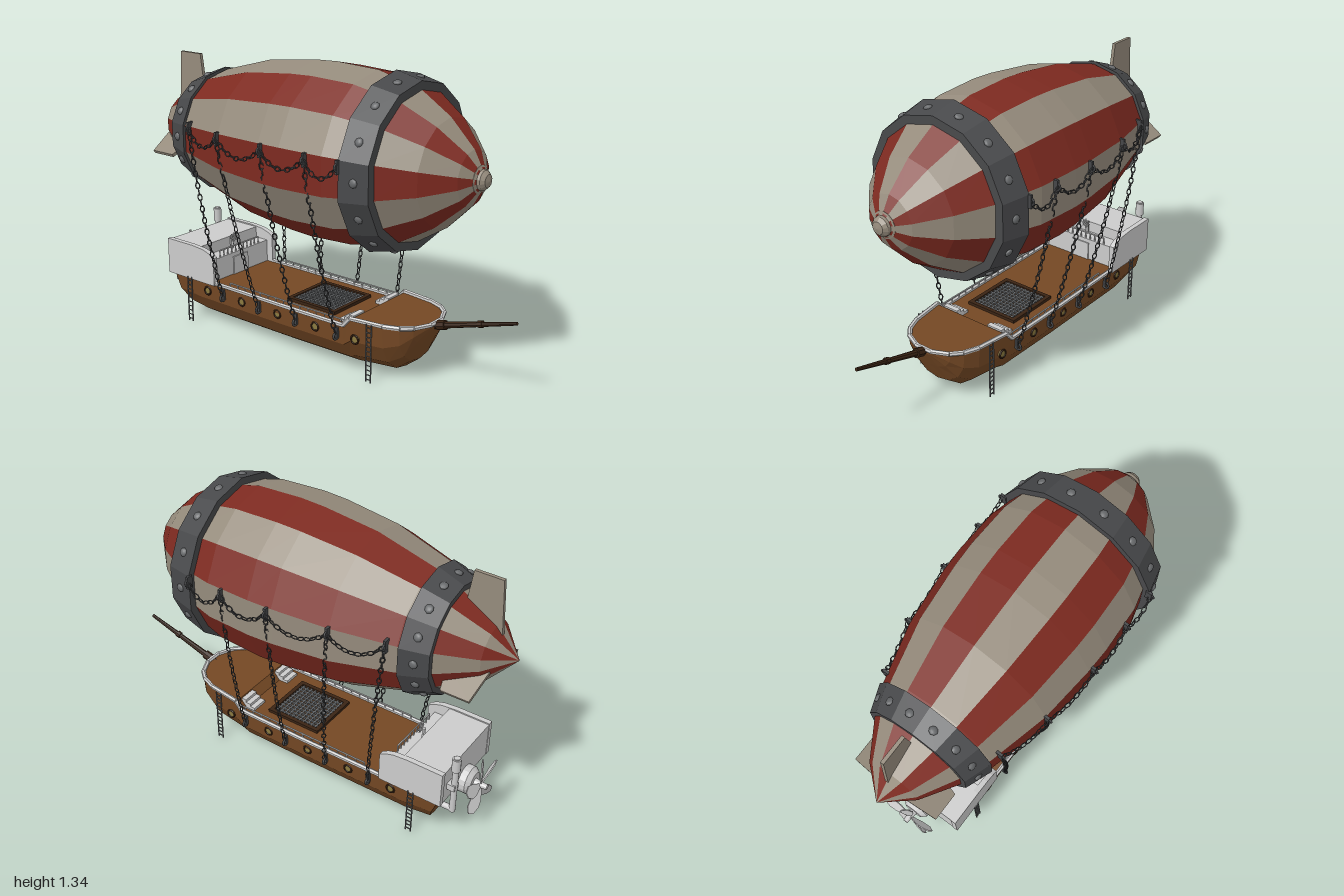
import * as THREE from 'three';
import { mergeGeometries } from 'three/addons/utils/BufferGeometryUtils.js';

const mat = (color, flatShading = true) => new THREE.MeshStandardMaterial({ color, flatShading });
const RED = mat(0x7d2a20), CREAM = mat(0x958b7c), IRON = mat(0x48494b), RIVET = mat(0x66686a, false);
const CHAIN = mat(0x454648, false), WOOD = mat(0x744824), DARK = mat(0x3a2414), GREY = mat(0xcccccc);
const BRASS = mat(0x8a7a40, false), GREYSMOOTH = mat(0xcccccc, false);
const V = (x, y, z) => new THREE.Vector3(x, y, z);
const UP = V(0, 1, 0), AXIS = 0.94, SIDES = 14, STEP = Math.PI * 2 / SIDES;

// geometry helpers
const box = (w, h, d, x, y, z) => new THREE.BoxGeometry(w, h, d).translate(x, y, z);
function bar(a, b, r0, r1 = r0, seg = 6) {
  const dir = b.clone().sub(a), g = new THREE.CylinderGeometry(r1, r0, dir.length(), seg);
  g.applyQuaternion(new THREE.Quaternion().setFromUnitVectors(UP, dir.normalize()));
  const m = a.clone().add(b).multiplyScalar(0.5);
  return g.translate(m.x, m.y, m.z);
}
// lathe turned so its axis runs along z; points are [radius, z]
const latheZ = (pts, seg, start = 0, len = Math.PI * 2) =>
  new THREE.LatheGeometry(pts.map(p => new THREE.Vector2(...p)), seg, start, len).rotateX(Math.PI / 2);
// side profile [z, y] extruded along x, centred on x
function sidePlate(pts, thick, x = 0) {
  const s = new THREE.Shape(pts.map(p => new THREE.Vector2(...p)));
  return new THREE.ExtrudeGeometry(s, { depth: thick, bevelEnabled: false })
    .rotateY(-Math.PI / 2).translate(x + thick / 2, 0, 0);
}
// chain of alternating links along a curve
function chain(curve) {
  const n = Math.max(2, Math.round(curve.getLength() / 0.028)), out = [];
  for (let i = 0; i < n; i++) {
    const u = (i + 0.5) / n, p = curve.getPointAt(u);
    const q = new THREE.Quaternion().setFromUnitVectors(UP, curve.getTangentAt(u));
    out.push(new THREE.TorusGeometry(0.0095, 0.0028, 4, 8).scale(1, 1.6, 1)
      .rotateY((i % 2) * Math.PI / 2 + 0.3).applyQuaternion(q).translate(p.x, p.y, p.z));
  }
  return out;
}

// envelope profile [radius, z], tail to nose
const PROFILE = [[0, -1], [0.125, -0.89], [0.225, -0.73], [0.285, -0.6], [0.36, -0.325], [0.39, -0.06],
  [0.395, 0.06], [0.385, 0.28], [0.33, 0.5], [0.235, 0.65], [0.12, 0.765], [0.04, 0.81]];
function envelopeRadius(z) {
  const i = PROFILE.findIndex(p => p[1] >= z), [r0, z0] = PROFILE[i - 1], [r1, z1] = PROFILE[i];
  return r0 + (r1 - r0) * (z - z0) / (z1 - z0);
}

// hull stations: z, half width, keel y, top y
const STATIONS = [[0.61, 0.045, 0.245, 0.265], [0.575, 0.12, 0.17, 0.265], [0.53, 0.16, 0.075, 0.265],
  [0.46, 0.187, 0.02, 0.265], [0.3, 0.208, 0.006, 0.265], [0.265, 0.21, 0.004, 0.225],
  [-0.1, 0.213, 0, 0.225], [-0.62, 0.21, 0, 0.225], [-0.8, 0.2, 0.015, 0.225]];
function hullGeometry() {
  const half = [[1, 1], [0.97, 0.6], [0.75, 0.27], [0.39, 0.06], [0, 0]];
  const ring = [...half, ...half.slice(0, 4).reverse().map(([u, v]) => [-u, v])];
  const n = ring.length, last = STATIONS.length - 1, pos = [], idx = [];
  STATIONS.forEach(([z, w, b, t], i) => ring.forEach(([u, v]) =>
    pos.push(u * w, b + (t - b) * v, z + (i === last ? 0.08 * (1 - v) : 0))));
  for (let i = 0; i < last; i++) for (let j = 0; j < n; j++) {
    const a = i * n + j, b = i * n + (j + 1) % n;
    idx.push(a, b, a + n, b, b + n, a + n);
  }
  for (let j = 1; j < n - 1; j++) idx.push(0, j + 1, j, last * n, last * n + j, last * n + j + 1);
  const g = new THREE.BufferGeometry();
  g.setAttribute('position', new THREE.Float32BufferAttribute(pos, 3));
  g.setIndex(idx);
  g.computeVertexNormals();
  return g;
}

export function createModel() {
  const root = new THREE.Group();
  const add = (name, geos, material) => {
    const list = [].concat(geos).map(g => {
      const h = g.index ? g.toNonIndexed() : g;
      h.deleteAttribute('uv');
      return h;
    });
    const m = new THREE.Mesh(mergeGeometries(list), material);
    m.name = name;
    root.add(m);
    return m;
  };

  // striped envelope
  const gores = [[], []];
  for (let k = 0; k < SIDES; k++) gores[k % 2].push(latheZ(PROFILE, 1, Math.PI - (k + 1) * STEP, STEP));
  add('redStripes', gores[0], RED).position.y = AXIS;
  add('creamStripes', gores[1], CREAM).position.y = AXIS;
  add('noseCap', latheZ([[0.06, 0.775], [0.06, 0.8], [0.045, 0.806], [0.043, 0.82], [0.028, 0.836], [0, 0.842]], 14),
    CREAM).position.y = AXIS;

  // riveted iron bands
  for (const [name, z0, r0, z1, r1] of [['frontBand', 0.375, 0.395, 0.505, 0.365], ['rearBand', -0.73, 0.25, -0.61, 0.295]]) {
    add(name, latheZ([[r0 - 0.04, z0], [r0, z0], [r1, z1], [r1 - 0.04, z1]], SIDES), IRON).position.y = AXIS;
    const rivets = [], r = (r0 + r1) / 2 * Math.cos(STEP / 2);
    for (let k = 0; k < SIDES; k++) {
      rivets.push(new THREE.SphereGeometry(0.02, 8, 6).scale(1, 0.55, 1)
        .translate(0, r, (z0 + z1) / 2).rotateZ((k + 0.5) * STEP));
    }
    add(name + 'Rivets', rivets, RIVET).position.y = AXIS;
  }

  // tail fins
  const fin = top => sidePlate([[-0.92, 0.06], [-0.9, top], [-0.77, top], [-0.74, 0.12]], 0.016);
  add('tailFins', [fin(0.34), fin(0.243).rotateZ(Math.PI * 2 / 3), fin(0.243).rotateZ(-Math.PI * 2 / 3)], CREAM)
    .position.y = AXIS;

  // hooks, hanging chains and garland chains on both sides
  const hookZ = [0.375, 0.2, -0.04, -0.325, -0.56], footZ = [null, 0.235, 0, -0.225, -0.455];
  const links = [], hooks = [];
  for (const s of [1, -1]) {
    const tops = hookZ.map((z, i) => V(s * ((i ? envelopeRadius(z) : 0.39) * Math.cos(STEP / 2) + 0.014), 1, z));
    tops.forEach((p, i) => {
      hooks.push(box(0.03, 0.06, 0.012, p.x - s * 0.01, p.y, p.z),
        new THREE.TorusGeometry(0.015, 0.005, 5, 10).translate(p.x, p.y, p.z));
      if (i) {
        const foot = V(s * 0.226, 0.19, footZ[i]);
        const mid = p.clone().lerp(foot, 0.45).add(V(s * 0.025, 0, 0));
        links.push(...chain(new THREE.QuadraticBezierCurve3(p, mid, foot)));
        hooks.push(new THREE.TorusGeometry(0.016, 0.006, 5, 10).translate(s * 0.22, 0.175, footZ[i]),
          box(0.02, 0.05, 0.014, s * 0.21, 0.19, footZ[i]));
        const sag = p.clone().lerp(tops[i - 1], 0.5).add(V(s * 0.012, -0.12, 0));
        links.push(...chain(new THREE.QuadraticBezierCurve3(tops[i - 1], sag, p)));
      }
    });
  }
  add('chains', links, CHAIN);
  add('chainHooks', hooks, CHAIN);

  // hull with bowsprit
  add('hull', hullGeometry(), WOOD);
  add('bowsprit', [bar(V(0, 0.24, 0.56), V(0, 0.37, 1), 0.017, 0.008, 8),
    bar(V(0, 0.258, 0.62), V(0, 0.27, 0.66), 0.022, 0.022, 8),
    bar(V(0, 0.318, 0.82), V(0, 0.324, 0.84), 0.016, 0.016, 8)], DARK);

  // gunwale trim, deck rails and bow steps
  const trim = [], rails = [], steps = [];
  for (const s of [1, -1]) {
    const edge = STATIONS.map(([z, w, , t]) => V(s * (w - 0.004), t + 0.004, z));
    for (let i = 0; i < edge.length - 1; i++) trim.push(bar(edge[i], edge[i + 1], 0.011, 0.011, 6));
    rails.push(bar(V(s * 0.2, 0.252, 0.27), V(s * 0.2, 0.252, -0.42), 0.004));
    for (let z = 0.25; z > -0.43; z -= 0.048) rails.push(bar(V(s * 0.2, 0.225, z), V(s * 0.2, 0.252, z), 0.003));
    for (let i = 0; i < 3; i++) steps.push(box(0.08, 0.014 * (i + 1), 0.025, s * 0.13, 0.225 + 0.007 * (i + 1), 0.23 + i * 0.025));
  }
  trim.push(bar(V(-0.045, 0.269, 0.61), V(0.045, 0.269, 0.61), 0.011));
  add('gunwaleTrim', trim, GREY);
  add('deckRails', rails, GREY);
  add('bowSteps', steps, GREY);

  // hatch with grating
  const frame = [], grate = [];
  for (const s of [1, -1]) frame.push(box(0.02, 0.016, 0.28, s * 0.125, 0.231, 0.02), box(0.27, 0.016, 0.02, 0, 0.231, 0.02 + s * 0.13));
  for (let i = -5; i <= 5; i++) grate.push(box(0.008, 0.008, 0.25, i * 0.02, 0.231, 0.02), box(0.24, 0.008, 0.008, 0, 0.231, 0.02 + i * 0.022));
  add('hatchFrame', frame, DARK);
  add('hatchGrating', grate, RIVET);

  // portholes
  const rims = [], panes = [];
  for (const s of [1, -1]) for (let i = 0; i < 5; i++) {
    const z = 0.33 - i * 0.224, x = s * 0.206;
    rims.push(new THREE.TorusGeometry(0.019, 0.005, 6, 14).rotateY(Math.PI / 2).translate(x + s * 0.003, 0.18, z));
    panes.push(bar(V(x - s * 0.02, 0.18, z), V(x + s * 0.004, 0.18, z), 0.018, 0.018, 12));
  }
  add('portholeRims', rims, DARK);
  add('portholePanes', panes, BRASS);

  // stern cabin with curved side walls and a helm platform
  const wall = [[-0.82, 0.22], [-0.51, 0.22], [-0.51, 0.36], [-0.54, 0.378], [-0.58, 0.39], [-0.65, 0.396], [-0.82, 0.396]];
  add('cabin', [sidePlate(wall, 0.025, 0.208), sidePlate(wall, 0.025, -0.208),
    box(0.4, 0.17, 0.2, 0, 0.305, -0.718), box(0.4, 0.115, 0.09, 0, 0.2775, -0.59),
    box(0.1, 0.09, 0.008, 0, 0.27, -0.543)], GREY);
  const helm = [bar(V(-0.135, 0.368, -0.55), V(0.135, 0.368, -0.55), 0.004)];
  for (let i = -5; i <= 5; i++) helm.push(bar(V(i * 0.027, 0.33, -0.55), V(i * 0.027, 0.368, -0.55), 0.0035));
  helm.push(bar(V(0, 0.33, -0.6), V(0, 0.4, -0.6), 0.009), new THREE.TorusGeometry(0.017, 0.003, 5, 14).translate(0, 0.395, -0.585));
  for (let i = 0; i < 4; i++) {
    const c = Math.cos(i * Math.PI / 4) * 0.025, d = Math.sin(i * Math.PI / 4) * 0.025;
    helm.push(bar(V(-c, 0.395 - d, -0.585), V(c, 0.395 + d, -0.585), 0.002));
  }
  add('helmAndRail', helm, GREY);

  // exhaust pipe on the stern
  add('exhaustPipe', [bar(V(0.15, 0.16, -0.845), V(0.15, 0.46, -0.845), 0.014, 0.014, 12),
    bar(V(0.15, 0.39, -0.845), V(0.15, 0.455, -0.845), 0.02, 0.02, 12),
    bar(V(0.15, 0.17, -0.845), V(0.15, 0.17, -0.78), 0.014, 0.014, 12),
    box(0.04, 0.03, 0.05, 0.15, 0.3, -0.83)], GREYSMOOTH);

  // propeller and its housing
  add('propellerHousing', latheZ([[0, -0.87], [0.045, -0.87], [0.065, -0.85], [0.065, -0.78]], 18), GREY).position.y = 0.225;
  const prop = [bar(V(0, 0, -0.86), V(0, 0, -0.93), 0.02, 0.012, 12)];
  const blade = new THREE.Shape([[-0.008, 0], [0.008, 0], [0.03, 0.055], [0.033, 0.09], [0.018, 0.125],
    [-0.008, 0.13], [-0.026, 0.1], [-0.024, 0.055]].map(p => new THREE.Vector2(...p)));
  for (let i = 0; i < 5; i++) {
    prop.push(new THREE.ExtrudeGeometry(blade, { depth: 0.005, bevelEnabled: false })
      .rotateY(0.55).translate(0, 0.01, -0.9).rotateZ(i * Math.PI * 2 / 5));
  }
  add('propeller', prop, GREY).position.y = 0.225;

  // rope ladders
  const ladders = [];
  for (const s of [1, -1]) for (const [x, z, top] of [[0.208, 0.405, 0.27], [0.222, -0.675, 0.23]]) {
    for (const d of [0.013, -0.013]) ladders.push(bar(V(s * x, 0, z + d), V(s * x, top, z + d), 0.0035));
    for (let y = 0.012; y < top; y += 0.022) ladders.push(bar(V(s * x, y, z - 0.013), V(s * x, y, z + 0.013), 0.003));
  }
  add('ladders', ladders, RIVET);
  return root;
}
